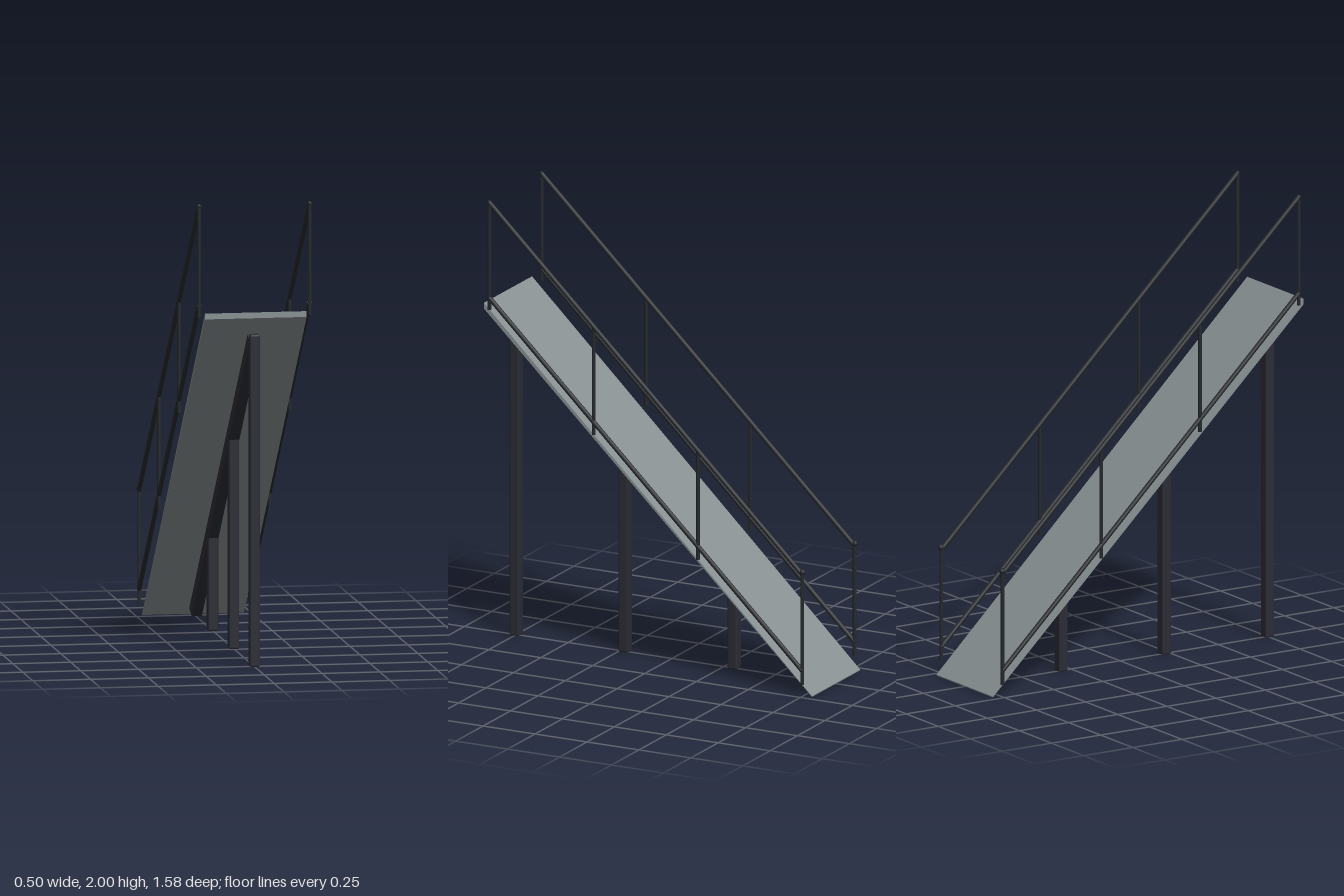
import * as THREE from 'three';
import { RoundedBoxGeometry } from 'three/addons/geometries/RoundedBoxGeometry.js';

const deckGrey = new THREE.MeshStandardMaterial({ name: 'deckGrey', color: 0x899193 });
const supportDark = new THREE.MeshStandardMaterial({ name: 'supportDark', color: 0x2b2c35 });
const railDark = new THREE.MeshStandardMaterial({ name: 'railDark', color: 0x25292d });

function add(parent, name, geometry, material) {
  const mesh = new THREE.Mesh(geometry, material);
  mesh.name = name;
  parent.add(mesh);
  return mesh;
}

// Side profile given as [z, y] points, extruded across x and centred
function sideExtrude(points, width) {
  const shape = new THREE.Shape(points.map(([z, y]) => new THREE.Vector2(z, y)));
  const geometry = new THREE.ExtrudeGeometry(shape, { depth: width, bevelEnabled: false });
  geometry.translate(0, 0, -width / 2);
  geometry.rotateY(-Math.PI / 2);
  return geometry;
}

// Round bar between two [z, y] points at a given x
function bar(parent, name, x, [z0, y0], [z1, y1], radius) {
  const a = new THREE.Vector3(x, y0, z0);
  const b = new THREE.Vector3(x, y1, z1);
  const dir = b.clone().sub(a);
  const mesh = add(parent, name, new THREE.CylinderGeometry(radius, radius, dir.length(), 12), railDark);
  mesh.position.copy(a).add(b).multiplyScalar(0.5);
  mesh.quaternion.setFromUnitVectors(new THREE.Vector3(0, 1, 0), dir.normalize());
}

export function createModel() {
  const model = new THREE.Group();
  model.name = 'ramp';

  // Sloping deck, thin at the foot and thicker at the top
  add(model, 'deck', sideExtrude([[-0.79, 0], [0.79, 1.505], [0.79, 1.53], [-0.79, 0.004]], 0.44), deckGrey);

  // Central beam under the deck
  add(model, 'beam', sideExtrude(
    [[-0.695, 0.004], [0.755, 1.385], [0.716, 1.427], [-0.753, 0.031]], 0.045), supportDark);

  // Square support posts with softened edges
  for (const [z, height] of [[0.75, 1.43], [0.225, 0.93], [-0.3, 0.43]]) {
    const post = add(model, 'supportPost', new RoundedBoxGeometry(0.045, height, 0.045, 2, 0.007), supportDark);
    post.position.set(0, height / 2, z);
  }

  // Railings on both sides
  for (const side of [-1, 1]) {
    const railing = new THREE.Group();
    railing.name = side > 0 ? 'leftRailing' : 'rightRailing';
    const x = side * 0.239;
    bar(railing, 'handrail', x, [0.753, 1.987], [-0.753, 0.545], 0.01);
    bar(railing, 'lowerRail', x, [0.753, 1.563], [-0.753, 0.117], 0.01);
    for (let i = 0; i < 4; i++) {
      const z = 0.753 - i * 0.502;
      const foot = 1.51 - i * 0.485;
      bar(railing, 'railPost', x, [z, foot], [z, 1.987 - i * 0.481], 0.008);
    }
    // Rounded handrail ends
    const upperEnd = add(railing, 'handrailEnd', new THREE.SphereGeometry(0.01, 12, 8), railDark);
    upperEnd.position.set(x, 1.988, 0.753);
    const lowerEnd = add(railing, 'handrailEnd', new THREE.SphereGeometry(0.013, 12, 8), railDark);
    lowerEnd.position.set(x, 0.555, -0.755);
    model.add(railing);
  }

  return model;
}
